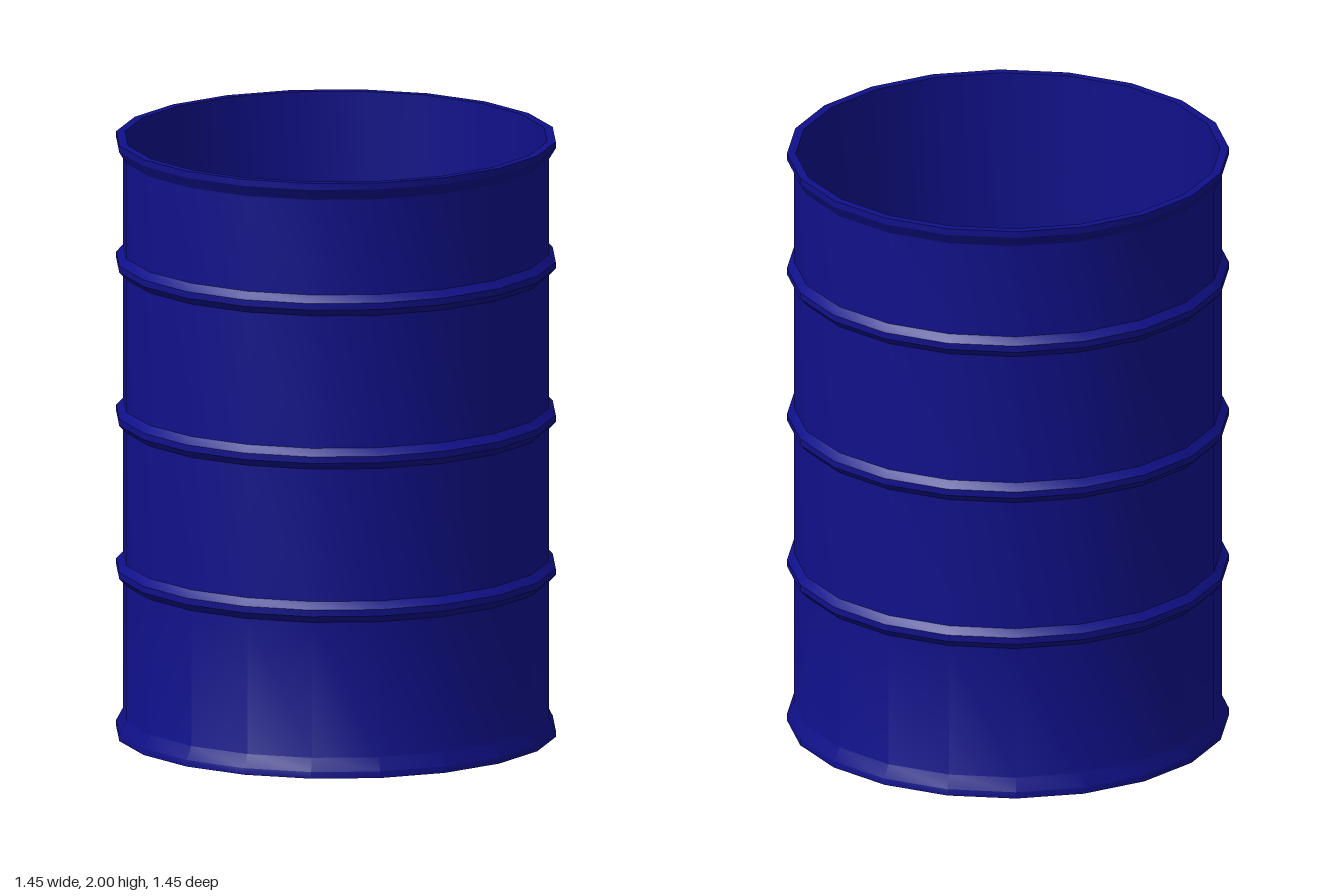
import * as THREE from 'three';
import { toCreasedNormals } from 'three/addons/utils/BufferGeometryUtils.js';

const SIDES = 20;
const BODY = 0.703, RIDGE = 0.726, INNER = 0.697, FLOOR = 0.1;

export function createModel() {
  const drum = new THREE.Group();
  drum.name = 'drum';
  const paint = new THREE.MeshStandardMaterial({ color: 0x10108a });
  const dark = new THREE.MeshStandardMaterial({ color: 0x353535 });

  const add = (name, geometry, material) => {
    const mesh = new THREE.Mesh(geometry, material);
    mesh.name = name;
    drum.add(mesh);
    return mesh;
  };
  const lathe = (points) => toCreasedNormals(
    new THREE.LatheGeometry(points.map(([r, y]) => new THREE.Vector2(r, y)), SIDES), 0.5);

  // Outer wall: flared foot, three rolled ridges, flared top rim
  const outline = [[RIDGE, 0], [RIDGE, 0.022], [BODY, 0.065]];
  for (const y of [0.555, 1.07, 1.585]) {
    outline.push([BODY, y - 0.035], [RIDGE, y - 0.011], [RIDGE, y + 0.011], [BODY, y + 0.035]);
  }
  outline.push([BODY, 1.94], [RIDGE, 1.978], [RIDGE, 2]);
  add('wall', lathe(outline), paint);

  // Flat lip and the inside of the wall
  add('rimAndLining', lathe([[RIDGE, 2], [INNER, 2], [INNER, FLOOR]]), paint);

  // Closed underside
  add('base', new THREE.CircleGeometry(RIDGE, SIDES), paint).rotation.x = Math.PI / 2;

  // Dark floor seen through the open top
  const floor = add('innerFloor', new THREE.CircleGeometry(INNER, SIDES), dark);
  floor.rotation.x = -Math.PI / 2;
  floor.position.y = FLOOR;

  return drum;
}
